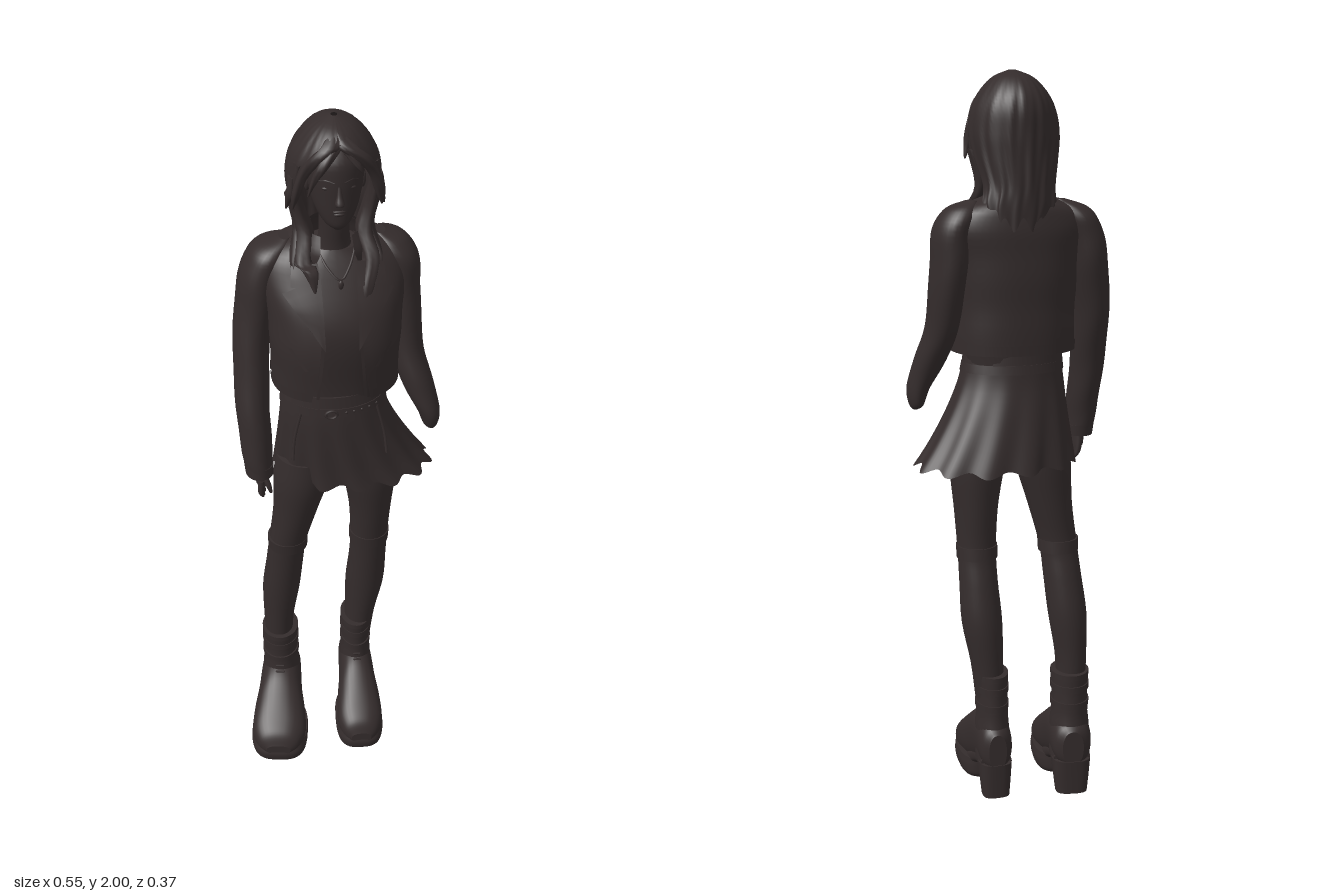
import * as THREE from 'three';

const charcoal = new THREE.MeshStandardMaterial({ color: 0x342c2c, side: THREE.DoubleSide });
charcoal.name = 'charcoal';

// Catmull-Rom sample of a section list; a section is [along, cx, c2, rx, r2, gap]
function sample(secs, t) {
  const f = t * (secs.length - 1), i = Math.min(Math.floor(f), secs.length - 2), u = f - i;
  const S = k => secs[Math.max(0, Math.min(secs.length - 1, k))];
  return [0, 1, 2, 3, 4, 5].map(k => {
    const [a, b, c, d] = [S(i - 1), S(i), S(i + 1), S(i + 2)].map(s => s[k] || 0);
    return b + 0.5 * u * (c - a + u * (2 * a - 5 * b + 4 * c - d + u * (3 * (b - c) + d - a)));
  });
}

// Skin through elliptical sections, along y (or z); gap leaves an opening at the front
function loft(secs, { n = 32, m = 0, pow = 2, axis = 'y', caps = true, wave = null, drop = null } = {}) {
  const rows = m || (secs.length - 1) * 4, open = secs.some(s => s[5]), pos = [], idx = [];
  const flip = axis === 'z';
  const tri = (a, b, c) => flip ? idx.push(a, c, b) : idx.push(a, b, c);
  const put = (x, q, along) => flip ? pos.push(x, q, along) : pos.push(x, along, q);
  const se = v => Math.sign(v) * Math.pow(Math.abs(v), 2 / pow);
  const cols = open ? n + 1 : n;
  const ring = t => {
    const [y, cx, c2, rx, r2, gap] = sample(secs, t), g = Math.max(0, gap);
    for (let j = 0; j < cols; j++) {
      const a = g + (j / n) * (Math.PI * 2 - 2 * g), w = wave ? wave(a, t) : 1;
      put(cx + Math.max(rx, 0.001) * w * se(Math.sin(a)), c2 + Math.max(r2, 0.001) * w * se(Math.cos(a)), y - (drop ? drop(a, t) : 0));
    }
  };
  for (let i = 0; i <= rows; i++) ring(i / rows);
  for (let i = 0; i < rows; i++) for (let j = 0; j < n; j++) {
    const a = i * cols + j, b = i * cols + (j + 1) % cols;
    tri(a, b, a + cols); tri(b, b + cols, a + cols);
  }
  if (caps && !open) for (const t of [0, 1]) {
    const base = pos.length / 3, s = sample(secs, t);
    ring(t); put(s[1], s[2], s[0]);
    for (let j = 0; j < n; j++) {
      const k = (j + 1) % n;
      t ? tri(base + n, base + j, base + k) : tri(base + n, base + k, base + j);
    }
  }
  return build(pos, idx);
}

function build(pos, idx) {
  const g = new THREE.BufferGeometry();
  g.setAttribute('position', new THREE.Float32BufferAttribute(pos, 3));
  g.setIndex(idx);
  g.computeVertexNormals();
  return g;
}

// Front depth of a lofted shape at (x, y)
function frontZ(secs, pow, x, y) {
  let i = 0;
  while (i < secs.length - 2 && y > secs[i + 1][0]) i++;
  const u = (y - secs[i][0]) / (secs[i + 1][0] - secs[i][0]);
  const [cx, cz, rx, rz] = [1, 2, 3, 4].map(k => secs[i][k] + (secs[i + 1][k] - secs[i][k]) * u);
  return cz + rz * Math.pow(Math.max(0, 1 - Math.pow(Math.abs((x - cx) / rx), pow)), 1 / pow);
}

// Thin four-cornered patch lying on a lofted front; corners run counter-clockwise
function patch(secs, pow, [a, b, c, d], lift) {
  const pos = [], idx = [], n = 6;
  for (let i = 0; i <= n; i++) for (let j = 0; j <= n; j++) {
    const u = j / n, v = i / n;
    const [x, y] = [0, 1].map(k => (a[k] * (1 - u) + b[k] * u) * (1 - v) + (d[k] * (1 - u) + c[k] * u) * v);
    pos.push(x, y, frontZ(secs, pow, x, y) + lift);
    if (i < n && j < n) {
      const p = i * (n + 1) + j, q = p + n + 1;
      idx.push(p, p + 1, q, p + 1, q + 1, q);
    }
  }
  return build(pos, idx);
}

export function createModel() {
  const model = new THREE.Group();
  const add = (name, geo, parent = model) => {
    const mesh = new THREE.Mesh(geo, charcoal);
    mesh.name = name;
    parent.add(mesh);
    return mesh;
  };
  const tube = (pts, r) => new THREE.TubeGeometry(new THREE.CatmullRomCurve3(pts.map(p => new THREE.Vector3(...p))), 16, r, 6);
  const ball = (name, x, y, z, rx, ry, rz) => {
    const s = add(name, new THREE.SphereGeometry(1, 16, 10));
    s.position.set(x, y, z); s.scale.set(rx, ry, rz);
  };

  // Head, neck and face
  add('head', loft([[1.738, 0, 0.04, 0.012, 0.018], [1.752, 0, 0.03, 0.032, 0.038], [1.78, 0, 0.014, 0.05, 0.057],
    [1.82, 0, 0, 0.063, 0.073], [1.87, 0, -0.005, 0.07, 0.079], [1.92, 0, -0.015, 0.07, 0.08], [1.97, 0, -0.02, 0.03, 0.04]]));
  add('neck', loft([[1.58, 0, -0.04, 0.065, 0.06], [1.66, 0, -0.03, 0.043, 0.045], [1.72, 0, -0.02, 0.038, 0.042], [1.79, 0, -0.015, 0.042, 0.046]]));
  add('nose', loft([[1.808, 0, 0.076, 0.006, 0.004], [1.815, 0, 0.078, 0.012, 0.014], [1.835, 0, 0.075, 0.007, 0.008], [1.858, 0, 0.071, 0.004, 0.004]], { n: 12 }));
  ball('upperLip', 0, 1.792, 0.069, 0.016, 0.004, 0.006);
  ball('lowerLip', 0, 1.784, 0.068, 0.014, 0.005, 0.006);
  for (const s of [-1, 1]) {
    ball('eye', s * 0.028, 1.851, 0.06, 0.013, 0.005, 0.007);
    add('eyebrow', tube([[s * 0.012, 1.867, 0.072], [s * 0.03, 1.872, 0.065], [s * 0.046, 1.867, 0.052]], 0.0025));
    ball('ear', s * 0.068, 1.84, -0.01, 0.008, 0.025, 0.015);
  }

  // Hair: wavy back, crown and loose strands
  add('hair', loft([[1.615, 0.01, -0.118, 0.088, 0.045, 1.5], [1.66, 0.005, -0.108, 0.098, 0.055, 1.5], [1.71, 0, -0.09, 0.094, 0.072, 1.5],
    [1.78, 0, -0.058, 0.108, 0.102, 1.3], [1.84, 0, -0.04, 0.116, 0.12, 1.1], [1.9, 0, -0.033, 0.108, 0.125, 0.72],
    [1.945, 0, -0.03, 0.084, 0.11, 0.25], [1.98, 0, -0.028, 0.05, 0.07, 0.01], [1.998, 0, -0.025, 0.008, 0.01, 0.01]],
  { n: 80, m: 40, wave: (a, t) => 1 + 0.03 * (1 - t) * Math.cos(a * 15 + 5 * t) + 0.01 * Math.cos(a * 26 - 6 * t),
    drop: (a, t) => 0.018 * (1 - t) ** 4 * Math.cos(a * 11) }));
  const strand = (name, s, pts) => add(name, loft(pts.map(([y, x, z, rx, rz]) => [y, s * x, z, rx, rz]),
    { n: 16, wave: (a, t) => 1 + 0.12 * Math.cos(5 * a + 8 * t) }));
  for (const s of [-1, 1]) {
    const tip = s > 0 ? 1.535 : 1.585;
    strand('sideLock', s, [[tip, 0.062, 0.088, 0.003, 0.003], [tip + 0.05, 0.07, 0.066, 0.018, 0.014], [1.645, 0.086, 0.03, 0.022, 0.02],
      [1.7, 0.075, -0.015, 0.022, 0.026], [1.76, 0.088, -0.03, 0.016, 0.03], [1.83, 0.1, -0.01, 0.013, 0.028], [1.9, 0.088, 0.015, 0.012, 0.024]]);
    strand('thinLock', s, [[1.595, 0.1, 0.05, 0.003, 0.003], [1.645, 0.105, 0.02, 0.011, 0.014], [1.71, 0.088, -0.035, 0.013, 0.025], [1.8, 0.108, -0.03, 0.012, 0.025]]);
    strand('curtainBang', s, [[1.79, 0.108, 0.035, 0.002, 0.002], [1.83, 0.1, 0.044, 0.01, 0.009], [1.88, 0.084, 0.052, 0.013, 0.012],
      [1.925, 0.055, 0.066, 0.02, 0.013], [1.955, 0.02, 0.062, 0.022, 0.012], [1.98, 0.004, 0.03, 0.012, 0.01]]);
    strand('flyawayTip', s, [[1.775, 0.12, 0.0, 0.002, 0.002], [1.81, 0.112, 0.005, 0.009, 0.012], [1.86, 0.102, 0.0, 0.012, 0.02]]);
  }
  strand('sweptBang', -1, [[1.835, 0.074, 0.066, 0.002, 0.002], [1.87, 0.062, 0.073, 0.007, 0.006], [1.915, 0.038, 0.075, 0.015, 0.01], [1.96, 0.0, 0.055, 0.015, 0.01]]);
  strand('shortBang', 1, [[1.89, 0.055, 0.075, 0.002, 0.002], [1.915, 0.04, 0.074, 0.009, 0.008], [1.96, 0.008, 0.055, 0.014, 0.01]]);

  // Top and necklace
  add('shirt', loft([[1.2, -0.005, -0.005, 0.125, 0.095], [1.3, 0, -0.005, 0.132, 0.1], [1.42, 0, -0.01, 0.15, 0.12],
    [1.5, 0, -0.02, 0.155, 0.12], [1.6, 0, -0.04, 0.155, 0.09], [1.66, 0, -0.045, 0.06, 0.06]], { pow: 2.3 }));
  add('necklace', tube([[-0.045, 1.66, 0], [-0.025, 1.625, 0.04], [0.005, 1.6, 0.062], [0.03, 1.625, 0.04], [0.05, 1.66, 0]], 0.003));
  ball('pendant', 0.005, 1.59, 0.066, 0.007, 0.012, 0.005);

  // Open cropped jacket
  const jacket = [[1.28, 0, -0.022, 0.165, 0.143, 0.42], [1.36, 0, -0.017, 0.168, 0.147, 0.32], [1.45, 0, -0.018, 0.172, 0.147, 0.26],
    [1.54, 0, -0.034, 0.182, 0.13, 0.28], [1.61, 0, -0.053, 0.188, 0.107, 0.35], [1.655, 0, -0.06, 0.15, 0.09, 0.5], [1.685, 0, -0.055, 0.07, 0.07, 0.7]];
  add('jacketBody', loft(jacket, { n: 48, pow: 2.3, wave: (a, t) => 1 + 0.006 * Math.sin(t * 26 + 2 * Math.cos(a)) }));
  add('jacketCollar', loft([[1.635, 0, -0.05, 0.1, 0.1, 0.55], [1.665, 0, -0.045, 0.088, 0.095, 0.5], [1.7, 0, -0.045, 0.068, 0.075, 0.6]]));
  add('jacketHemBand', loft([[1.278, 0, -0.022, 0.168, 0.146, 0.42], [1.305, 0, -0.021, 0.169, 0.148, 0.4]], { n: 48, pow: 2.3 }));
  for (const s of [-1, 1]) {
    const side = c => s > 0 ? c : [c[1], c[0], c[3], c[2]].map(([x, y]) => [-x, y]);
    add('lapel', patch(jacket, 2.3, side([[0.042, 1.44], [0.075, 1.49], [0.14, 1.57], [0.045, 1.62]]), 0.009));
    add('collarFlap', patch(jacket, 2.3, side([[0.045, 1.59], [0.12, 1.59], [0.115, 1.635], [0.05, 1.645]]), 0.015));
    add('slantPocket', patch(jacket, 2.3, side([[0.085, 1.38], [0.093, 1.377], [0.133, 1.435], [0.125, 1.438]]), 0.007));
    add('frontZip', patch(jacket, 2.3, side([[0.058, 1.29], [0.066, 1.29], [0.052, 1.45], [0.044, 1.45]]), 0.005));
  }

  // Sleeves, with the left one tucked in at the wrist
  const folds = { m: 44, wave: (a, t) => 1 + 0.018 * Math.sin(t * 34 + 2 * Math.sin(a)) };
  add('rightSleeve', loft([[1.02, -0.212, 0.035, 0.037, 0.047], [1.1, -0.217, 0.024, 0.042, 0.054], [1.22, -0.221, -0.002, 0.045, 0.061],
    [1.36, -0.216, -0.04, 0.048, 0.068], [1.5, -0.198, -0.062, 0.053, 0.076], [1.6, -0.177, -0.064, 0.053, 0.077],
    [1.65, -0.15, -0.062, 0.045, 0.06], [1.672, -0.12, -0.06, 0.015, 0.025]], folds));
  add('leftSleeve', loft([[1.115, 0.256, 0.025, 0.008, 0.012], [1.13, 0.253, 0.026, 0.02, 0.035], [1.18, 0.245, 0.026, 0.032, 0.047],
    [1.26, 0.215, 0.002, 0.043, 0.058], [1.36, 0.19, -0.033, 0.045, 0.067], [1.5, 0.177, -0.055, 0.052, 0.075],
    [1.6, 0.168, -0.06, 0.053, 0.076], [1.65, 0.145, -0.062, 0.045, 0.06], [1.672, 0.12, -0.06, 0.015, 0.025]], folds));
  add('rightCuff', loft([[1.015, -0.212, 0.035, 0.038, 0.048], [1.045, -0.213, 0.032, 0.04, 0.05]]));

  // Right hand
  add('palm', loft([[0.985, -0.208, 0.038, 0.016, 0.032], [1.03, -0.212, 0.035, 0.018, 0.029]], { n: 16 }));
  for (let i = 0; i < 4; i++) {
    const z = 0.014 + i * 0.016;
    add('finger', loft([[0.94 + 0.006 * Math.abs(i - 1.5), -0.196 - i * 0.004, z + 0.004, 0.004, 0.004], [0.965, -0.204 - i * 0.003, z + 0.002, 0.008, 0.008],
      [1.0, -0.21, z, 0.009, 0.009]], { n: 10 }));
  }
  add('thumb', loft([[0.962, -0.186, 0.068, 0.004, 0.004], [0.985, -0.192, 0.064, 0.008, 0.008], [1.015, -0.205, 0.052, 0.009, 0.01]], { n: 10 }));

  // Pleated skirt, belt and hips
  const skirt = [[0.972, 0.05, -0.035, 0.216, 0.142], [1.03, 0.032, -0.028, 0.193, 0.132], [1.11, 0.012, -0.016, 0.166, 0.12],
    [1.19, -0.003, -0.005, 0.145, 0.108], [1.265, -0.008, -0.003, 0.132, 0.1]];
  add('skirt', loft(skirt, { n: 128, caps: false, wave: (a, t) => 1 + 0.05 * (1 - t) ** 1.5 * Math.cos(a * 13 + Math.sin(a)),
    drop: (a, t) => (1 - t) ** 3 * (0.008 * Math.cos(a * 13 + Math.sin(a)) - 0.008 * Math.cos(a)) }));
  add('skirtWaistband', loft([[1.24, -0.008, -0.003, 0.139, 0.104], [1.275, -0.008, -0.003, 0.134, 0.101]]));
  add('belt', loft([[1.218, -0.006, -0.004, 0.143, 0.109], [1.242, -0.007, -0.003, 0.139, 0.106]]));
  const buckle = add('beltBuckle', new THREE.TorusGeometry(0.015, 0.004, 6, 16));
  buckle.scale.y = 0.75;
  buckle.position.set(-0.025, 1.23, 0.106);
  for (let i = 0; i < 5; i++) ball('beltStud', 0.015 + i * 0.021, 1.23, frontZ(skirt, 2, 0.015 + i * 0.021, 1.23) + 0.003, 0.004, 0.004, 0.003);
  for (const s of [-1, 1]) add('skirtStrap', tube([[s * 0.1, 1.225, 0.072], [s * 0.12, 1.14, 0.078], [s * 0.126, 1.08, 0.088]], 0.004));
  add('hips', loft([[1.0, 0, -0.012, 0.07, 0.07], [1.03, 0, -0.012, 0.13, 0.088], [1.1, 0, -0.012, 0.14, 0.1], [1.22, -0.005, -0.005, 0.125, 0.09]]));

  // Legs and stockings
  const legs = {
    right: [[0.3, -0.165, -0.06, 0.04, 0.048], [0.4, -0.164, -0.058, 0.044, 0.053], [0.52, -0.155, -0.052, 0.054, 0.06], [0.63, -0.144, -0.037, 0.053, 0.058],
      [0.72, -0.135, -0.023, 0.053, 0.056], [0.84, -0.112, -0.015, 0.062, 0.07], [0.95, -0.094, -0.01, 0.077, 0.084], [1.04, -0.082, -0.01, 0.08, 0.085]],
    left: [[0.3, 0.075, -0.06, 0.04, 0.048], [0.4, 0.082, -0.058, 0.045, 0.053], [0.52, 0.094, -0.052, 0.056, 0.06], [0.63, 0.099, -0.037, 0.053, 0.058],
      [0.72, 0.1, -0.023, 0.053, 0.056], [0.84, 0.1, -0.015, 0.06, 0.07], [0.95, 0.095, -0.01, 0.074, 0.084], [1.04, 0.085, -0.01, 0.08, 0.085]],
  };
  for (const [k, secs] of Object.entries(legs)) {
    add(k + 'Leg', loft(secs));
    const [, x, z, rx, rz] = secs[4];
    add(k + 'StockingBand', loft([[0.7, x, z - 0.003, rx + 0.003, rz + 0.003], [0.735, x, z + 0.001, rx + 0.004, rz + 0.004]]));
  }

  // Chunky ankle boots with rounded front soles and separate heels
  const boot = (name, x, y, yaw, width) => {
    const g = new THREE.Group();
    g.name = name;
    add('bootShaft', loft([[0.1, 0, -0.015, 0.058, 0.066], [0.19, 0, -0.003, 0.055, 0.07], [0.26, 0, -0.003, 0.051, 0.063], [0.35, 0, 0, 0.053, 0.065]],
      { wave: (a, t) => 1 + 0.015 * Math.sin(t * 22) }), g);
    add('bootFoot', loft([[-0.083, 0, 0.14, 0.03, 0.05], [-0.06, 0, 0.145, 0.053, 0.065], [0, 0, 0.15, 0.06, 0.08], [0.07, 0, 0.128, 0.066, 0.088],
      [0.13, 0, 0.1, 0.077, 0.078], [0.19, 0, 0.077, 0.08, 0.058], [0.228, 0, 0.066, 0.062, 0.04], [0.246, 0, 0.056, 0.036, 0.018]], { axis: 'z', pow: 2.3, m: 40 }), g);
    add('bootSole', loft([[0, 0, 0.142, 0.072, 0.086], [0.012, 0, 0.146, 0.081, 0.098], [0.035, 0, 0.148, 0.085, 0.101], [0.05, 0, 0.146, 0.083, 0.099]], { n: 48, pow: 2.9 }), g);
    add('bootWelt', loft([[0.05, 0, 0.144, 0.085, 0.102], [0.062, 0, 0.142, 0.083, 0.1]], { n: 48, pow: 2.9 }), g);
    add('bootArch', loft([[-0.06, 0, 0.1, 0.052, 0.018], [0.02, 0, 0.085, 0.055, 0.022], [0.09, 0, 0.05, 0.066, 0.028]], { axis: 'z', pow: 3 }), g);
    add('bootHeel', loft([[0, 0, -0.047, 0.045, 0.034], [0.045, 0, -0.042, 0.05, 0.041], [0.1, 0, -0.028, 0.056, 0.058]], { pow: 3 }), g);
    for (const h of [0.3, 0.25]) add('ankleStrap', loft([[h, 0, -0.002, 0.0545, 0.067], [h + 0.018, 0, -0.002, 0.0545, 0.067]]), g);
    add('topRim', loft([[0.338, 0, 0, 0.054, 0.066], [0.352, 0, 0, 0.054, 0.066]]), g);
    for (let i = 0; i < 4; i++) {
      const lace = add('lace', new THREE.CapsuleGeometry(0.003, 0.022, 3, 6).rotateZ(Math.PI / 2), g);
      lace.position.set(0, 0.236 - i * 0.018, 0.066 + i * 0.007);
    }
    g.scale.x = width;
    g.position.set(x, y, -0.06);
    g.rotation.y = yaw;
    model.add(g);
  };
  boot('rightBoot', -0.161, 0, -0.16, 1);
  boot('leftBoot', 0.069, 0.02, -0.06, 0.84);

  return model;
}
